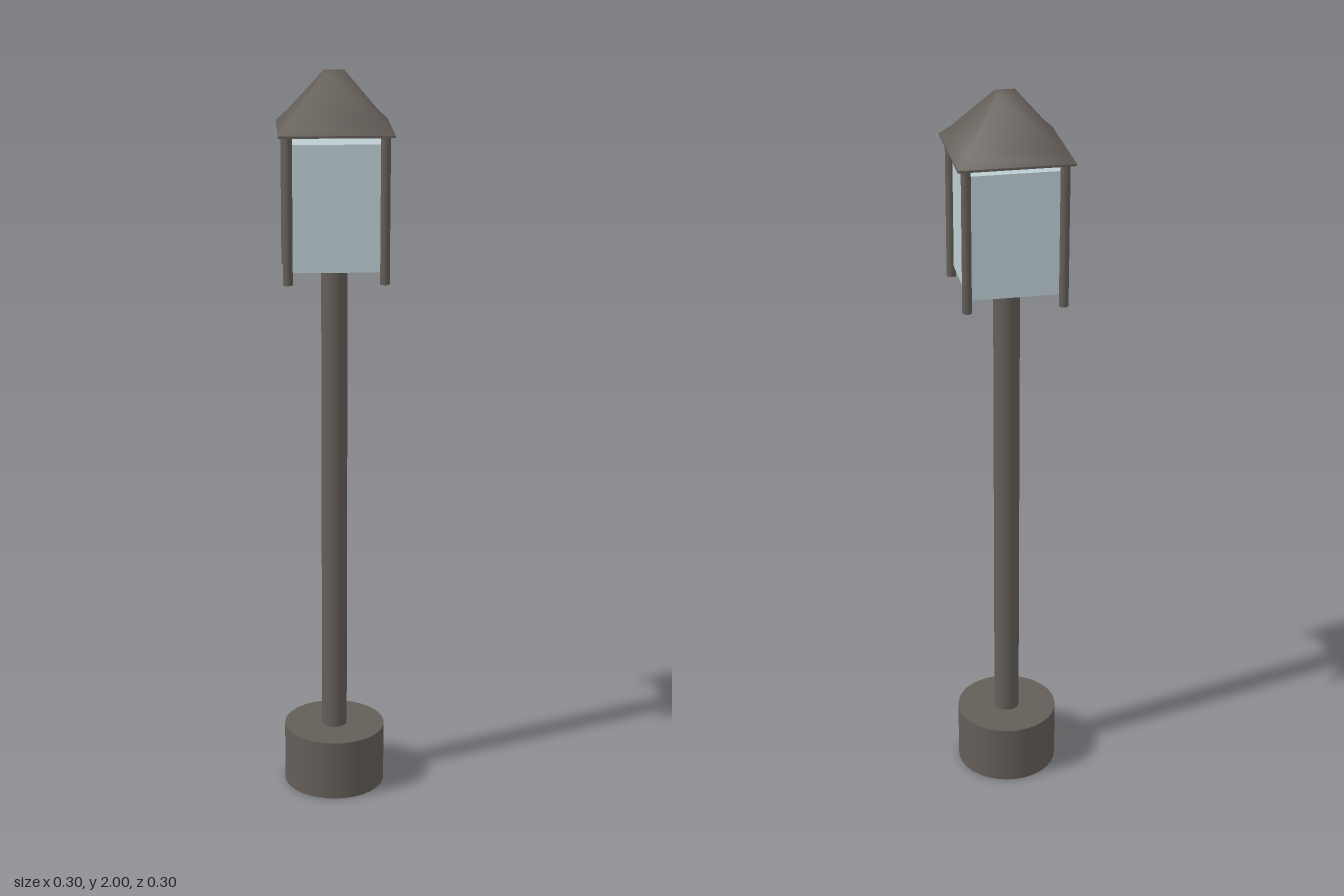
import * as THREE from 'three';

const metal = new THREE.MeshStandardMaterial({ color: 0x645e58 });
metal.name = 'darkMetal';
const glass = new THREE.MeshStandardMaterial({ color: 0xbccdd2 });
glass.name = 'paleGlass';

export function createModel() {
  const model = new THREE.Group();
  model.name = 'gardenLamp';

  const add = (name, geometry, material, x, y, z) => {
    const mesh = new THREE.Mesh(geometry, material);
    mesh.name = name;
    mesh.position.set(x, y, z);
    model.add(mesh);
  };
  // Upright cylinder from height y0 to y1
  const column = (name, radius, y0, y1, x = 0, z = 0, sides = 32) =>
    add(name, new THREE.CylinderGeometry(radius, radius, y1 - y0, sides), metal, x, (y0 + y1) / 2, z);

  // Foot and pole
  column('base', 0.14, 0, 0.17);
  column('pole', 0.035, 0.16, 1.5);

  // Lantern body
  add('lanternGlass', new THREE.BoxGeometry(0.24, 0.33, 0.24), glass, 0, 1.665, 0);

  // Corner posts holding up the roof
  for (const sx of [-1, 1])
    for (const sz of [-1, 1])
      column('cornerPost', 0.0125, 1.47, 1.857, sx * 0.125, sz * 0.125, 16);

  // Four-sided roof with softly shaded slopes; profile is [half width, height]
  const profile = [[0.148, 1.856], [0.12, 1.884], [0.026, 2], [0, 2]]
    .map(([half, y]) => new THREE.Vector2(half * Math.SQRT2, y));
  add('roof', new THREE.LatheGeometry(profile, 4, Math.PI / 4), metal, 0, 0, 0);

  // Thin eave closing the underside of the roof
  add('eave', new THREE.BoxGeometry(0.296, 0.006, 0.296), metal, 0, 1.853, 0);

  return model;
}
